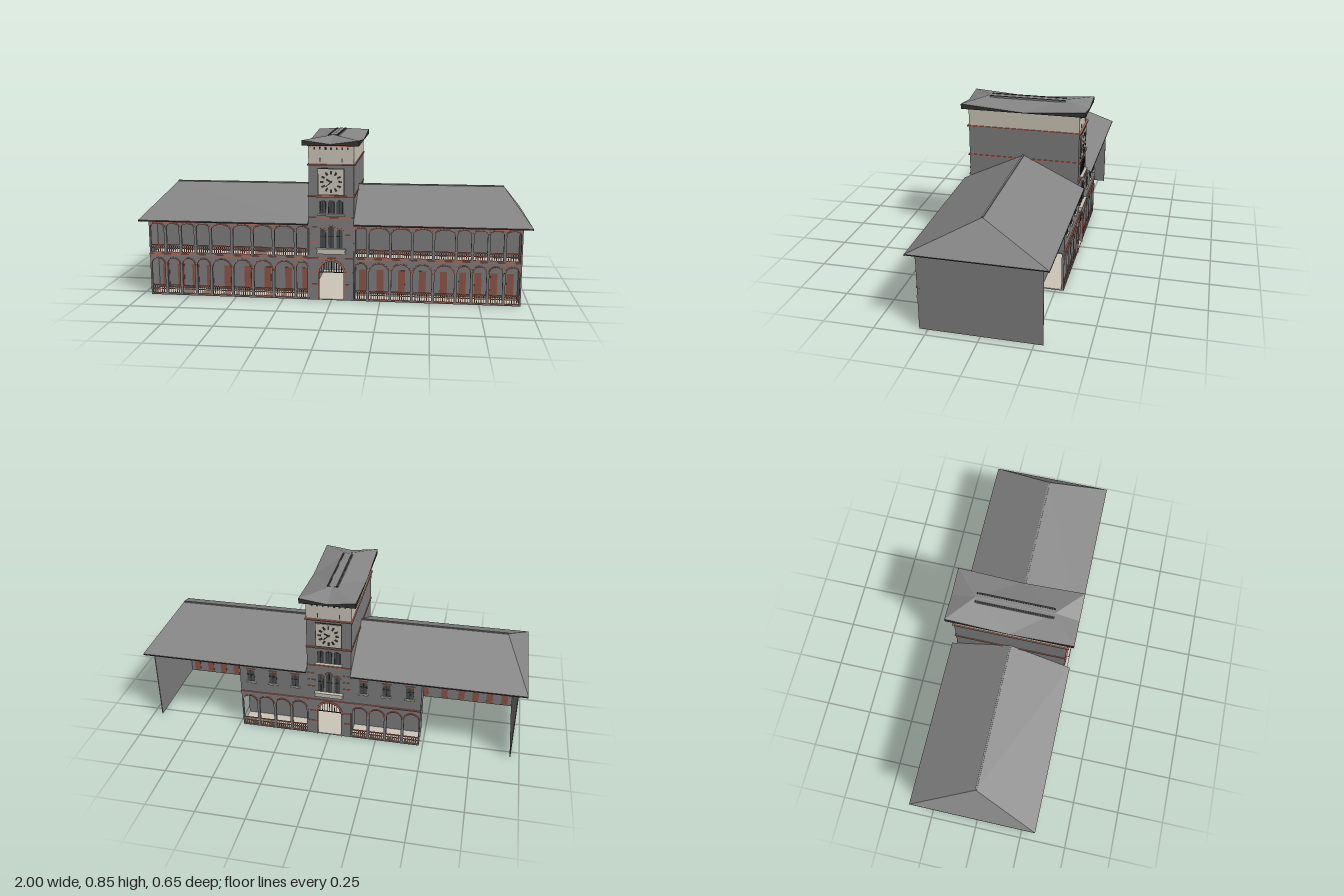
import * as THREE from 'three';
import { mergeGeometries } from 'three/addons/utils/BufferGeometryUtils.js';

const mat = (name, color, side = THREE.FrontSide) => {
  const m = new THREE.MeshStandardMaterial({ color, side });
  m.name = name;
  return m;
};

export function createModel() {
  const wall = mat('grey wall', 0x7f7f7f, THREE.DoubleSide);
  const roof = mat('grey roof', 0x858585, THREE.DoubleSide);
  const cream = mat('cream stone', 0xcdc7ba);
  const brick = mat('brick trim', 0xb5705e);
  const door = mat('door red', 0x8f5548);
  const dark = mat('dark metal', 0x333333);
  const glass = mat('window grey', 0x4c5052);

  // Geometry is gathered by part name and merged into one mesh per part
  const parts = new Map();
  let turn = 0;
  const add = (name, m, g) => {
    if (g.index) g = g.toNonIndexed();
    g.deleteAttribute('uv');
    g.rotateY(turn);
    if (!parts.has(name)) parts.set(name, { m, list: [] });
    parts.get(name).list.push(g);
  };
  // Box given by its limits on each axis
  const box = (name, m, x0, x1, y0, y1, z0, z1) =>
    add(name, m, new THREE.BoxGeometry(x1 - x0, y1 - y0, z1 - z0)
      .translate((x0 + x1) / 2, (y0 + y1) / 2, (z0 + z1) / 2));
  // Outline of an arched opening: half-width r, rise ry, crown at top
  const archPath = (P, cx, r, ry, y0, top) => {
    const p = new P();
    p.moveTo(cx - r, y0);
    p.lineTo(cx + r, y0);
    p.lineTo(cx + r, top - ry);
    p.absellipse(cx, top - ry, r, ry, 0, Math.PI, false);
    p.lineTo(cx - r, y0);
    return p;
  };
  const extrude = (name, m, shape, z, depth) =>
    add(name, m, new THREE.ExtrudeGeometry(shape, { depth, bevelEnabled: false, curveSegments: 6 })
      .translate(0, 0, z));
  // Brick band over an arch
  const archBand = (cx, r, ry, top, z, w = 0.006) => {
    const s = new THREE.Shape();
    s.absellipse(cx, top - ry, r + w, ry + w, 0, Math.PI, false);
    s.lineTo(cx - r, top - ry);
    s.absellipse(cx, top - ry, r, ry, Math.PI, 0, true);
    extrude('archBands', brick, s, z, 0.004);
  };
  const rect = (x0, x1, y0, y1) => new THREE.Shape([
    new THREE.Vector2(x0, y0), new THREE.Vector2(x1, y0),
    new THREE.Vector2(x1, y1), new THREE.Vector2(x0, y1)]);
  const railing = (x0, x1, y, h, z) => {
    box('railings', brick, x0, x1, y + h - 0.006, y + h, z, z + 0.005);
    box('railings', brick, x0, x1, y + h * 0.5, y + h * 0.5 + 0.004, z, z + 0.004);
    box('railings', brick, x0, x1, y, y + 0.005, z, z + 0.004);
    const n = Math.max(2, Math.round((x1 - x0) / 0.011));
    for (let i = 1; i < n; i++) {
      const x = x0 + (x1 - x0) * i / n;
      box('railings', brick, x - 0.0018, x + 0.0018, y, y + h, z, z + 0.003);
    }
  };
  // Wall pierced by one arch per bay, with bands and railings
  const arcade = (edges, y0, y1, crown, flat, railH) => {
    const lo = Math.min(...edges), hi = Math.max(...edges);
    const s = rect(lo, hi, y0, y1);
    for (let i = 0; i + 1 < edges.length; i++) {
      const cx = (edges[i] + edges[i + 1]) / 2;
      const r = Math.abs(edges[i + 1] - edges[i]) / 2 - 0.007, ry = r * flat;
      s.holes.push(archPath(THREE.Path, cx, r, ry, y0 + 0.004, crown));
      archBand(cx, r, ry, crown, 0.292);
      railing(cx - r, cx + r, y0 + 0.004, railH, 0.284);
    }
    extrude('arcadeWalls', wall, s, 0.28, 0.012);
  };

  const bays = [0.116, 0.186, 0.30, 0.41, 0.517, 0.63, 0.71, 0.79, 0.87, 0.955];
  const backBays = [0.116, 0.207, 0.298, 0.389, 0.48];

  // Front galleries and end walls
  for (const s of [-1, 1]) {
    const span = (name, m, a, b, ...rest) => box(name, m, Math.min(s * a, s * b), Math.max(s * a, s * b), ...rest);
    const edges = bays.map(x => s * x);
    arcade(edges, 0, 0.215, 0.198, 1, 0.05);
    arcade(edges, 0.222, 0.40, 0.383, 0.55, 0.045);
    span('stringCourses', brick, 0.116, 0.957, 0.215, 0.222, 0.28, 0.296);
    span('stringCourses', brick, 0.116, 0.955, 0.387, 0.391, 0.29, 0.294);
    span('galleryFloors', cream, 0.115, 0.95, 0, 0.004, 0.17, 0.285);
    span('galleryFloors', cream, 0.115, 0.95, 0.21, 0.218, 0.17, 0.28);
    span('galleryInnerWall', wall, 0.115, 0.952, 0, 0.40, 0.168, 0.172);
    span('endWalls', wall, 0.952, 0.956, 0, 0.405, -0.292, 0.292);
    for (let i = 0; i + 1 < bays.length; i++) {
      const c = (bays[i] + bays[i + 1]) / 2;
      span('doors', door, c - 0.018, c + 0.018, 0.004, 0.135, 0.165, 0.175);
    }
    // Main roof half: front, back, hip end
    const R = [s * 0.115, 0.563, 0], Q = [s * 0.88, 0.563, 0];
    const A = [s * 0.115, 0.405, 0.325], B = [s, 0.405, 0.325];
    const C = [s, 0.405, -0.325], D = [s * 0.115, 0.405, -0.325];
    let tris = [A, B, Q, A, Q, R, C, D, R, C, R, Q, B, C, Q];
    if (s < 0) tris = tris.slice().reverse();
    const g = new THREE.BufferGeometry();
    g.setAttribute('position', new THREE.Float32BufferAttribute(tris.flat(), 3));
    g.computeVertexNormals();
    add('mainRoof', roof, g);
    span('ridge', roof, 0.115, 0.88, 0.56, 0.567, -0.004, 0.004);
    for (const z of [-0.325, 0.321]) span('eaveBoards', dark, 0.115, 1, 0.398, 0.405, z, z + 0.004);
    span('eaveBoards', dark, 0.996, 1, 0.40, 0.405, -0.325, 0.325);
  }

  // Rear wing: arcade below, windowed wall above
  turn = Math.PI;
  for (const s of [-1, 1]) {
    const span = (name, m, a, b, ...rest) => box(name, m, Math.min(s * a, s * b), Math.max(s * a, s * b), ...rest);
    arcade(backBays.map(x => s * x), 0, 0.22, 0.195, 1, 0.045);
    span('rearUpperWall', wall, 0.115, 0.48, 0.22, 0.405, 0.28, 0.292);
    span('rearUpperWall', wall, 0.476, 0.48, 0.21, 0.405, 0.18, 0.29);
    span('rearInnerWall', wall, 0.115, 0.48, 0, 0.405, 0.178, 0.182);
    span('galleryFloors', cream, 0.115, 0.48, 0, 0.006, 0.18, 0.285);
    span('galleryFloors', cream, 0.115, 0.476, 0.21, 0.218, 0.182, 0.28);
    span('stringCourses', brick, 0.115, 0.482, 0.218, 0.224, 0.28, 0.298);
    span('stringCourses', brick, 0.115, 0.48, 0.385, 0.389, 0.29, 0.295);
    for (const c of [0.18, 0.30, 0.42]) {
      span('rearWindows', glass, c - 0.02, c + 0.02, 0.29, 0.36, 0.29, 0.294);
      span('windowSills', cream, c - 0.026, c + 0.026, 0.282, 0.29, 0.29, 0.302);
      span('windowHeads', brick, c - 0.024, c + 0.024, 0.36, 0.366, 0.29, 0.297);
      span('windowBars', dark, c - 0.002, c + 0.002, 0.29, 0.36, 0.292, 0.296);
      span('windowBars', dark, c - 0.02, c + 0.02, 0.33, 0.334, 0.292, 0.296);
    }
  }

  // Tower front and back faces
  for (turn of [0, Math.PI]) {
    const face = rect(-0.115, 0.115, 0, 0.70);
    face.holes.push(archPath(THREE.Path, 0, 0.063, 0.063, 0.001, 0.205));
    extrude('towerFaces', wall, face, 0.28, 0.012);
    archBand(0, 0.063, 0.063, 0.205, 0.292, 0.01);
    for (const s of [-1, 1]) {
      const x = s * 0.066;
      box('archJambs', brick, x - 0.003, x + 0.003, 0, 0.142, 0.29, 0.296);
      for (const y of [0.08, 0.145, 0.3, 0.34, 0.38]) {
        const c = s * 0.094;
        box('towerBands', brick, c - 0.021, c + 0.021, y, y + 0.005, 0.29, 0.295);
      }
    }
    // Gate grille in the arch head
    box('gateGrille', dark, -0.063, 0.063, 0.145, 0.149, 0.284, 0.288);
    for (let i = -4; i <= 4; i++) {
      const x = i * 0.013, top = 0.142 + Math.sqrt(0.063 ** 2 - x * x);
      box('gateGrille', dark, x - 0.0015, x + 0.0015, 0.145, top, 0.284, 0.287);
    }
    // Balcony, ledge and brick courses
    box('balcony', cream, -0.075, 0.075, 0.245, 0.252, 0.29, 0.303);
    box('balcony', cream, -0.072, 0.072, 0.252, 0.268, 0.29, 0.308);
    box('balcony', cream, -0.075, 0.075, 0.268, 0.274, 0.29, 0.312);
    box('towerBands', brick, -0.115, 0.115, 0.218, 0.223, 0.29, 0.297);
    box('towerBands', brick, -0.115, 0.115, 0.428, 0.434, 0.29, 0.297);
    box('windowSills', cream, -0.07, 0.07, 0.444, 0.45, 0.29, 0.31);
    // Two rows of three arched windows
    for (const x of [-0.043, 0, 0.043]) {
      const top = x ? 0.375 : 0.392;
      extrude('towerWindows', glass, archPath(THREE.Shape, x, 0.015, 0.015, 0.276, top), 0.29, 0.005);
      archBand(x, 0.015, 0.015, top, 0.292, 0.005);
      box('windowBars', dark, x - 0.002, x + 0.002, 0.276, top, 0.294, 0.297);
      box('windowBars', dark, x - 0.015, x + 0.015, 0.335, 0.339, 0.294, 0.297);
      extrude('towerWindows', glass, archPath(THREE.Shape, x, 0.013, 0.008, 0.455, 0.522), 0.29, 0.005);
      box('windowBars', dark, x - 0.002, x + 0.002, 0.455, 0.522, 0.294, 0.297);
      for (const e of [-0.014, 0.014]) box('windowBars', dark, x + e - 0.002, x + e + 0.002, 0.455, 0.515, 0.29, 0.297);
    }
    // Clock: frame, square dial, hour marks and hands
    const cy = 0.617;
    box('clockFrame', dark, -0.068, 0.068, cy - 0.068, cy + 0.068, 0.29, 0.296);
    box('clockDial', cream, -0.064, 0.064, cy - 0.064, cy + 0.064, 0.292, 0.299);
    const pointer = (a, r0, r1, w) => add('clockMarks', dark, new THREE.BoxGeometry(w, r1 - r0, 0.003)
      .translate(0, (r0 + r1) / 2, 0).rotateZ(-a).translate(0, cy, 0.3));
    for (let i = 0; i < 12; i++) pointer(i * Math.PI / 6, 0.037, 0.055, 0.009);
    pointer(3.95, -0.008, 0.036, 0.005);
    pointer(5.15, -0.006, 0.026, 0.007);
    // Small vents under the tower eaves
    for (let i = -3; i <= 3; i++) box('eaveVents', dark, i * 0.028 - 0.004, i * 0.028 + 0.004, 0.778, 0.79, 0.29, 0.297);
    for (const x of [-0.055, 0.055]) box('eaveVents', dark, x - 0.002, x + 0.002, 0.715, 0.735, 0.29, 0.295);
    box('towerBands', brick, -0.116, 0.116, 0.794, 0.799, 0.29, 0.298);
  }
  turn = 0;

  // Tower sides, passage floor, upper storey and wrapping courses
  for (const x of [-0.115, 0.111]) box('towerSides', wall, x, x + 0.004, 0, 0.70, -0.29, 0.29);
  box('passageFloor', cream, -0.113, 0.113, 0, 0.004, -0.29, 0.29);
  box('passageCeiling', cream, -0.111, 0.111, 0.215, 0.22, -0.28, 0.28);
  box('towerTopStorey', cream, -0.115, 0.115, 0.70, 0.802, -0.292, 0.292);
  box('towerBands', brick, -0.119, 0.119, 0.538, 0.545, -0.299, 0.299);
  box('towerBands', brick, -0.121, 0.121, 0.699, 0.705, -0.302, 0.302);

  // Tower roof with upturned corners, dark edge boards and soffit
  const W = 0.142, L = 0.325;
  const rim = [[W, 0.827, L], [W, 0.803, 0], [W, 0.827, -L], [0, 0.808, -L],
    [-W, 0.827, -L], [-W, 0.803, 0], [-W, 0.827, L], [0, 0.808, L]];
  const F = [0, 0.845, 0.2], K = [0, 0.845, -0.2];
  const apex = [[F, K], [K, K], [K, K], [K, K], [K, F], [F, F], [F, F], [F, F]];
  const top = [], edge = [];
  rim.forEach((a, i) => {
    const b = rim[(i + 1) % 8];
    const [p, q] = i === 0 ? [F, F] : apex[i];
    top.push(a, b, p);
    if (p !== q) top.push(b, q, p);
    if (i === 1) top.push(a, K, F);
    const a0 = [a[0], 0.8, a[2]], b0 = [b[0], 0.8, b[2]];
    edge.push(a0, b0, b, a0, b, a, b0, a0, [0, 0.8, 0]);
  });
  for (const [name, m, pts] of [['towerRoof', roof, top], ['towerEaves', dark, edge]]) {
    const g = new THREE.BufferGeometry();
    g.setAttribute('position', new THREE.Float32BufferAttribute(pts.flat(), 3));
    g.computeVertexNormals();
    add(name, m, g);
  }
  box('towerRidge', roof, -0.028, 0.028, 0.836, 0.844, -0.2, 0.2);
  for (const x of [-0.026, 0.018]) box('ridgeVents', dark, x, x + 0.008, 0.838, 0.846, -0.2, 0.2);

  const group = new THREE.Group();
  group.name = 'clockTowerBuilding';
  for (const [name, { m, list }] of parts) {
    const mesh = new THREE.Mesh(mergeGeometries(list), m);
    mesh.name = name;
    group.add(mesh);
  }
  return group;
}
